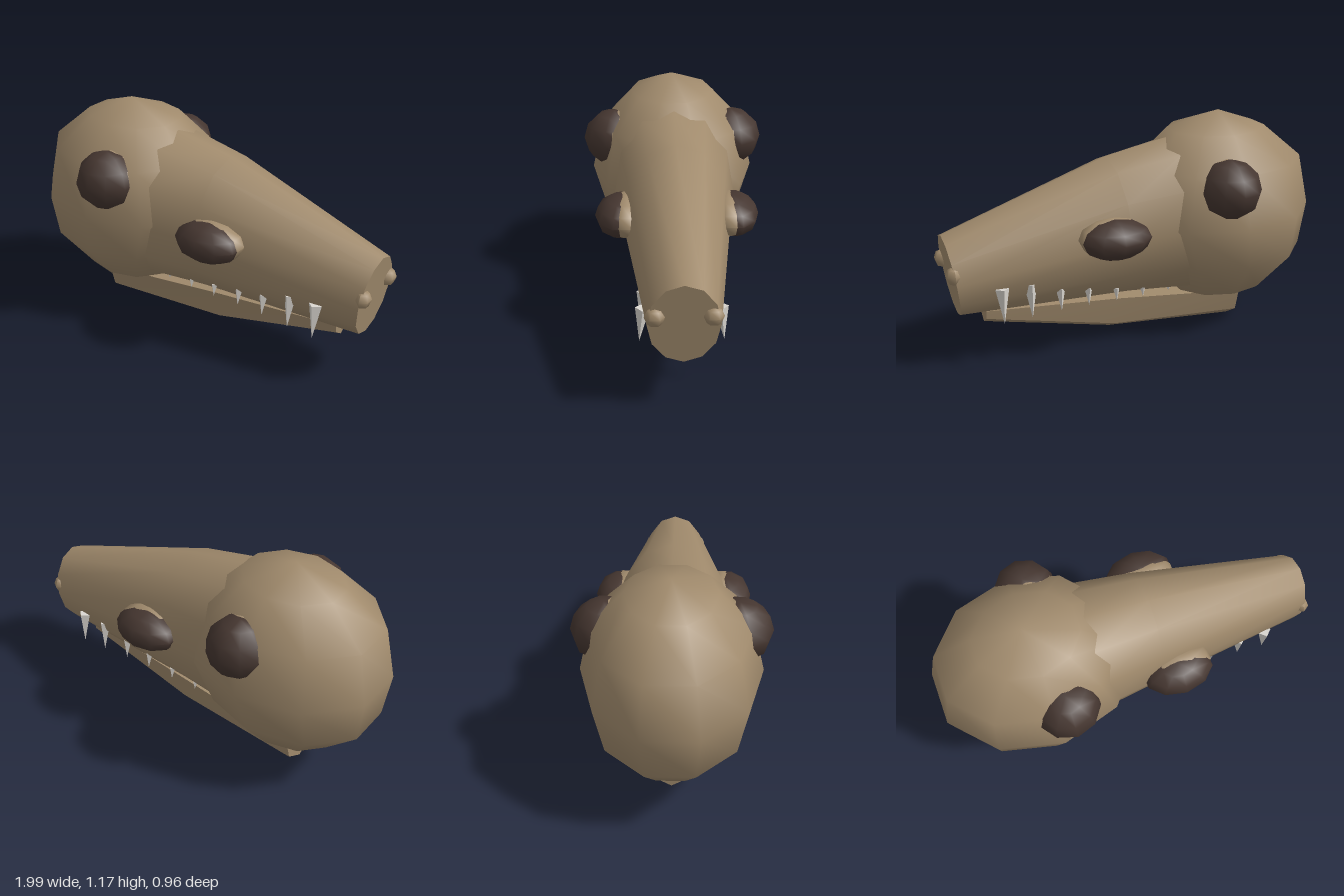
import * as THREE from 'three';
import { toCreasedNormals } from 'three/addons/utils/BufferGeometryUtils.js';

const mat = (name, color) => {
  const m = new THREE.MeshStandardMaterial({ color });
  m.name = name;
  return m;
};

// Closed skin over rings of [x, y, z] points that advance along +x
function loft(rings, crease) {
  const n = rings[0].length, last = (rings.length - 1) * n, idx = [];
  for (let i = 0; i < rings.length - 1; i++) {
    for (let j = 0; j < n; j++) {
      const a = i * n + j, b = i * n + (j + 1) % n;
      idx.push(a, b, a + n, b, b + n, a + n);
    }
  }
  for (let j = 1; j < n - 1; j++) {
    idx.push(0, j + 1, j, last, last + j, last + j + 1);
  }
  const g = new THREE.BufferGeometry();
  g.setAttribute('position', new THREE.Float32BufferAttribute(rings.flat(2), 3));
  g.setIndex(idx);
  return toCreasedNormals(g, crease);
}

// Slightly irregular low-poly braincase, one [y, centre x] per row
function craniumGeometry() {
  const rows = [[1.175, -0.51], [1.088, -0.487], [0.915, -0.495], [0.648, -0.478],
    [0.415, -0.52], [0.213, -0.525], [0.155, -0.51]];
  const g = new THREE.SphereGeometry(1, 10, 6).rotateY(Math.PI / 2);
  const p = g.attributes.position;
  for (let i = 0; i < p.count; i++) {
    const [y, cx] = rows[Math.floor(i / 11)];
    const x = p.getX(i);
    p.setXYZ(i, cx + x * (x > 0 ? 0.51 : 0.55), y, p.getZ(i) * 0.44);
  }
  return toCreasedNormals(g, 1.1);
}

// Tilted twelve-sided snout ring from its top and bottom points and half width
function snoutRing([tx, ty, bx, by, w]) {
  return Array.from({ length: 12 }, (_, j) => {
    const a = j * Math.PI / 6, c = Math.cos(a), t = (1 + c) / 2;
    return [bx + (tx - bx) * t, by + (ty - by) * t, Math.sin(a) * w];
  });
}

// Five-sided keel section of the lower jaw
function jawRing([x, top, wTop, low, wLow, keel]) {
  return [[x, top, -wTop], [x, top, wTop], [x, low, wLow], [x, keel, 0], [x, low, -wLow]];
}

export function createModel() {
  const group = new THREE.Group();
  const bone = mat('bone brown', 0xa08a6c);
  const dark = mat('dark socket', 0x453630);
  const ivory = mat('tooth ivory', 0xdad6d0);

  const add = (name, geometry, material, pos = [0, 0, 0]) => {
    const m = new THREE.Mesh(geometry, material);
    m.name = name;
    m.position.set(...pos);
    group.add(m);
    return m;
  };
  const ellipsoid = (rx, ry, rz, ws = 10, hs = 6) =>
    toCreasedNormals(new THREE.SphereGeometry(1, ws, hs).rotateY(Math.PI / 2).scale(rx, ry, rz), 1.1);

  add('cranium', craniumGeometry(), bone);

  add('snout', loft([
    [-0.21, 1.055, -0.3, 0.225, 0.33],
    [0.12, 0.99, 0.05, 0.25, 0.285],
    [0.98, 0.69, 0.92, 0.265, 0.165],
  ].map(snoutRing), 0.75), bone);

  add('lowerJaw', loft([
    [-0.6, 0.19, 0.14, 0.065, 0.105, 0],
    [0.11, 0.25, 0.11, 0.095, 0.08, 0.05],
    [0.79, 0.278, 0.06, 0.235, 0.054, 0.2],
  ].map(jawRing), 0.35), bone);

  // Teeth grow towards the tip of the snout: x, top y, tip y
  const teeth = [[-0.17, 0.285, 0.265], [-0.02, 0.31, 0.26], [0.13, 0.335, 0.265],
    [0.285, 0.365, 0.27], [0.435, 0.39, 0.27], [0.59, 0.44, 0.265], [0.735, 0.44, 0.26]];

  for (const side of [1, -1]) {
    const label = side > 0 ? 'left' : 'right';

    // Large rear opening and long front opening, each with a bony rim behind it
    add(label + 'EyeSocket', ellipsoid(0.165, 0.155, 0.165), dark, [-0.42, 0.84, side * 0.317]);
    add(label + 'EyeRim', ellipsoid(0.16, 0.152, 0.13), bone, [-0.415, 0.84, side * 0.29]);
    add(label + 'CheekOpening', ellipsoid(0.184, 0.1, 0.13), dark, [0.18, 0.65, side * 0.28]);
    add(label + 'CheekRim', ellipsoid(0.184, 0.1, 0.1), bone, [0.184, 0.652, side * 0.255]);

    add(label + 'Nostril', ellipsoid(0.04, 0.047, 0.047, 6, 4), bone, [0.955, 0.522, side * 0.13]);

    teeth.forEach(([x, top, tip], i) => {
      const h = top - tip;
      const g = new THREE.ConeGeometry(0.008 + h * 0.15, h, 4).rotateX(Math.PI).toNonIndexed();
      g.computeVertexNormals();
      const z = 0.145 + i * 0.0075;
      const tooth = add(label + 'Tooth' + (i + 1), g, ivory, [x, (top + tip) / 2, side * z]);
      tooth.rotation.x = -side * 0.1;
    });
  }
  return group;
}
